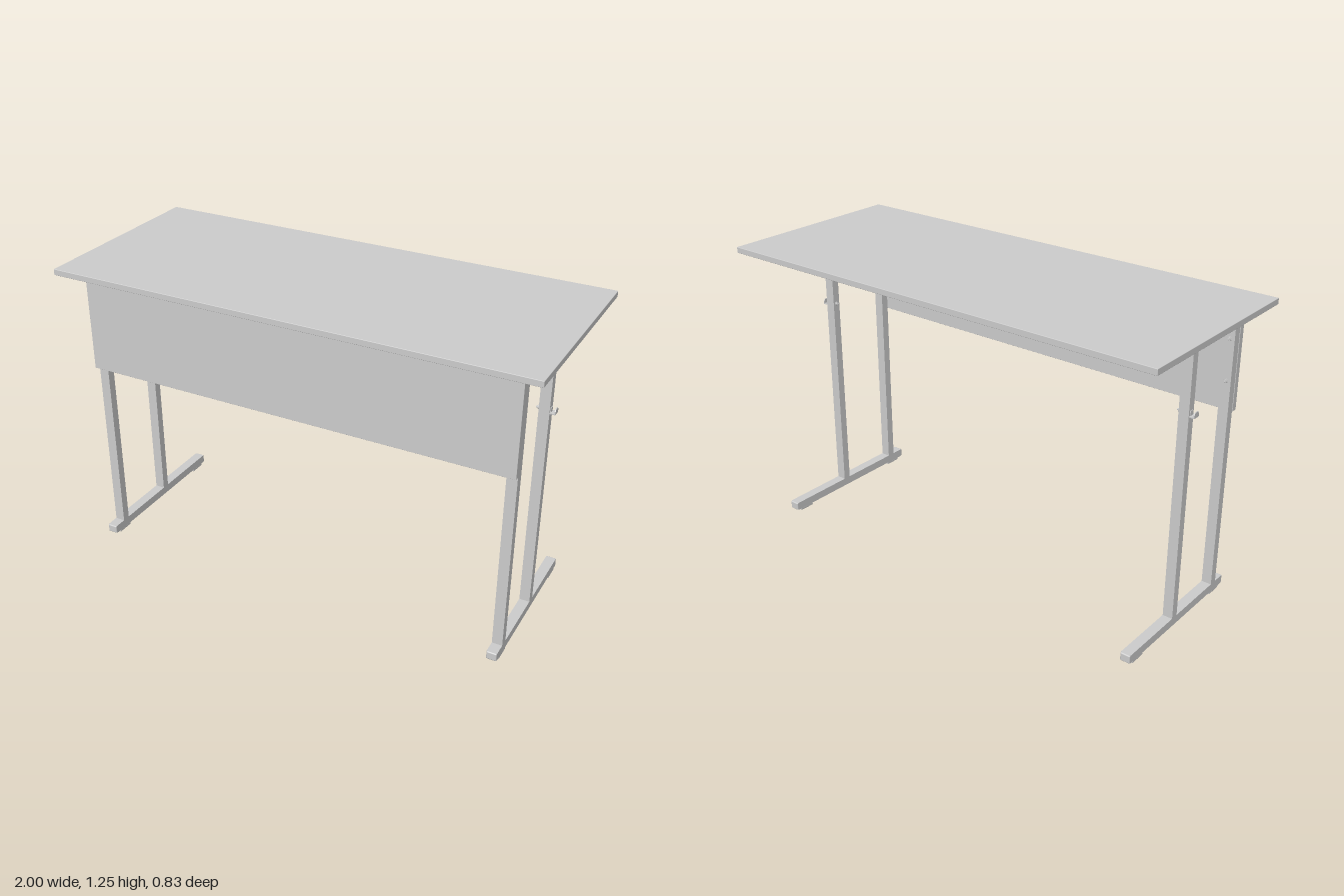
import * as THREE from 'three';
import { RoundedBoxGeometry } from 'three/addons/geometries/RoundedBoxGeometry.js';

const material = new THREE.MeshStandardMaterial({ color: 0xcccccc });

function add(parent, name, geometry) {
  const mesh = new THREE.Mesh(geometry, material);
  mesh.name = name;
  parent.add(mesh);
  return mesh;
}

// Box given by its minimum and maximum corners, optionally with rounded edges
function block(parent, name, [x0, y0, z0], [x1, y1, z1], radius = 0) {
  const size = [x1 - x0, y1 - y0, z1 - z0];
  const geometry = radius ? new RoundedBoxGeometry(...size, 3, radius) : new THREE.BoxGeometry(...size);
  const mesh = add(parent, name, geometry);
  mesh.position.set((x0 + x1) / 2, (y0 + y1) / 2, (z0 + z1) / 2);
  return mesh;
}

// Washer, hexagonal nut and thread tip, pointing along the given direction
function bolt(parent, name, position, direction) {
  const group = new THREE.Group();
  group.name = name;
  [[0.010, 0.002, 0.001, 16], [0.008, 0.006, 0.005, 6], [0.004, 0.006, 0.011, 12]].forEach(([r, h, y, n], i) => {
    add(group, ['washer', 'nut', 'threadTip'][i], new THREE.CylinderGeometry(r, r, h, n)).position.y = y;
  });
  group.position.set(...position);
  group.quaternion.setFromUnitVectors(new THREE.Vector3(0, 1, 0), new THREE.Vector3(...direction));
  parent.add(group);
}

// Bag hook: a bent strip whose upturned lip has clipped corners
function bagHook(parent) {
  const hook = new THREE.Group();
  hook.name = 'bagHook';
  block(hook, 'hookArm', [0.91, 0.904, -0.022], [0.932, 0.908, 0.009]);
  const lip = new THREE.Shape();
  lip.moveTo(-0.0155, 0);
  lip.lineTo(0.0155, 0);
  lip.lineTo(0.0155, 0.013);
  lip.lineTo(0.009, 0.022);
  lip.lineTo(-0.009, 0.022);
  lip.lineTo(-0.0155, 0.013);
  const mesh = add(hook, 'hookLip', new THREE.ExtrudeGeometry(lip, { depth: 0.004, bevelEnabled: false }));
  mesh.rotation.y = Math.PI / 2;
  mesh.position.set(0.928, 0.904, -0.0065);
  block(hook, 'hookPlate', [0.91, 0.904, -0.016], [0.913, 0.927, 0.003]);
  parent.add(hook);
}

// One side frame; side is +1 for left, -1 for right
function sideFrame(side) {
  const frame = new THREE.Group();
  frame.name = side > 0 ? 'leftFrame' : 'rightFrame';
  const a = 0.868, b = 0.91, mid = (a + b) / 2;

  // Tubes
  block(frame, 'frontLeg', [a, 0.045, 0.278], [b, 1.22, 0.312]);
  block(frame, 'rearLeg', [a, 0.045, -0.023], [b, 1.187, 0.01]);
  block(frame, 'topRail', [a, 1.187, -0.316], [b, 1.222, 0.278]);
  block(frame, 'footRail', [a, 0.01, -0.317], [b, 0.045, 0.364]);

  // Rounded plugs closing the tube ends
  block(frame, 'topRailCap', [a, 1.187, -0.322], [b, 1.222, -0.308], 0.005);
  block(frame, 'footRearCap', [a, 0.01, -0.323], [b, 0.045, -0.309], 0.005);
  block(frame, 'footFrontCap', [a, 0.01, 0.356], [b, 0.045, 0.37], 0.005);

  // Floor glides
  block(frame, 'frontGlide', [a, 0, 0.27], [b, 0.012, 0.34], 0.003);
  block(frame, 'rearGlide', [a, 0, -0.3], [b, 0.012, -0.23], 0.003);

  // Fastenings of the top, front panel and hook
  for (const z of [0.168, -0.165]) bolt(frame, 'topBolt', [mid, 1.187, z], [0, -1, 0]);
  for (const y of [1.103, 0.935]) bolt(frame, 'panelBolt', [mid, y, 0.278], [0, 0, -1]);
  bolt(frame, 'hookBolt', [a, 0.915, -0.0065], [-1, 0, 0]);
  bagHook(frame);

  // Mirror placement for the right side by a half turn of each part about its own axis
  if (side < 0) {
    frame.traverse((part) => {
      if (!part.isMesh) return;
      part.geometry = part.geometry.clone();
    });
    frame.updateMatrixWorld(true);
    const mirrored = new THREE.Group();
    mirrored.name = frame.name;
    frame.traverse((part) => {
      if (!part.isMesh) return;
      const geometry = part.geometry.index ? part.geometry.toNonIndexed() : part.geometry;
      geometry.applyMatrix4(part.matrixWorld).scale(-1, 1, 1);
      // Swap two corners of every triangle so the faces stay outward
      for (const attribute of Object.values(geometry.attributes)) {
        const n = attribute.itemSize, v = attribute.array;
        for (let i = 0; i < v.length; i += 3 * n) {
          for (let k = 0; k < n; k++) [v[i + k], v[i + n + k]] = [v[i + n + k], v[i + k]];
        }
      }
      add(mirrored, part.name, geometry);
    });
    return mirrored;
  }
  return frame;
}

export function createModel() {
  const desk = new THREE.Group();
  desk.name = 'desk';
  block(desk, 'tableTop', [-1, 1.222, -0.416], [1, 1.247, 0.416], 0.002);
  block(desk, 'frontPanel', [-0.912, 0.803, 0.312], [0.912, 1.22, 0.337], 0.001);
  desk.add(sideFrame(1), sideFrame(-1));
  return desk;
}
